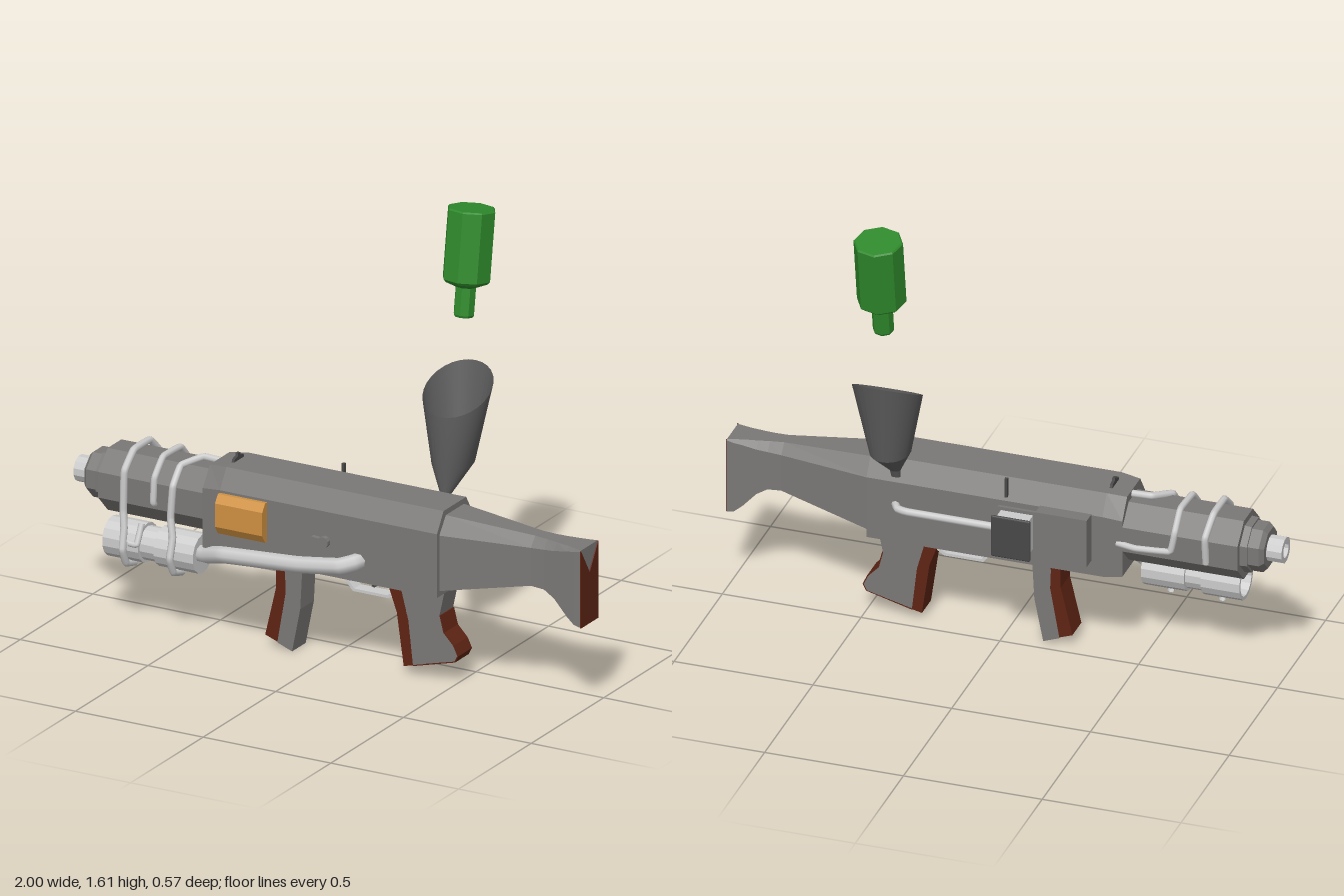
import * as THREE from 'three';
import { toCreasedNormals } from 'three/addons/utils/BufferGeometryUtils.js';
import { RoundedBoxGeometry } from 'three/addons/geometries/RoundedBoxGeometry.js';

const mat = (color, extra = {}) => new THREE.MeshStandardMaterial({ color, ...extra });
const CY = 0.49, CZ = 0.088; // bore axis

// Skin through rings of [x, y, z]; optional end caps
function loft(rings, caps = true) {
  const pos = [], n = rings[0].length;
  const tri = (...pts) => pts.forEach(p => pos.push(...p));
  for (let i = 0; i < rings.length - 1; i++) {
    for (let j = 0; j < n; j++) {
      const k = (j + 1) % n, a = rings[i], b = rings[i + 1];
      tri(a[j], a[k], b[k]);
      tri(a[j], b[k], b[j]);
    }
  }
  if (caps) {
    const a = rings[0], b = rings[rings.length - 1];
    for (let j = 1; j < n - 1; j++) {
      tri(a[0], a[j + 1], a[j]);
      tri(b[0], b[j], b[j + 1]);
    }
  }
  const g = new THREE.BufferGeometry();
  g.setAttribute('position', new THREE.Float32BufferAttribute(pos, 3));
  g.computeVertexNormals();
  return g;
}

// Box section across x with chamfered top edges
const section = (x, y0, y1, w, c, d) => [
  [x, y1, CZ + w - d], [x, y1 - c, CZ + w], [x, y0, CZ + w],
  [x, y0, CZ - w], [x, y1 - c, CZ - w], [x, y1, CZ - w + d],
].map(([a, b, z]) => [a, b, z + 0.005]);

// Turned part along x; profile of [x, radius] running from rear to front
function turned(profile, sides, y = CY, z = CZ) {
  const pts = profile.map(([x, r]) => new THREE.Vector2(r, -x));
  return new THREE.LatheGeometry(pts, sides, Math.PI / sides).rotateZ(Math.PI / 2).translate(0, y, z);
}

// Side outline extruded between two z values
function slab(points, z0, z1) {
  const shape = new THREE.Shape(points.map(p => new THREE.Vector2(...p)));
  return new THREE.ExtrudeGeometry(shape, { depth: z1 - z0, bevelEnabled: false }).translate(0, 0, z0);
}

function pipe(points, r) {
  const curve = new THREE.CatmullRomCurve3(points.map(p => new THREE.Vector3(...p)), false, 'catmullrom', 0.12);
  return new THREE.TubeGeometry(curve, points.length * 8, r, 8);
}

export function createModel() {
  const model = new THREE.Group();
  const steel = mat(0x7a7876, { flatShading: true });
  const light = mat(0xcccccc, { side: THREE.DoubleSide });
  const lightFlat = mat(0xcccccc, { flatShading: true, side: THREE.DoubleSide });
  const dark = mat(0x484848, { flatShading: true });
  const wood = mat(0x5e2414, { flatShading: true });
  const amber = mat(0xcf9040, { flatShading: true });
  const green = mat(0x2f8a2c, { flatShading: true });
  const add = (name, geometry, material) => {
    const m = new THREE.Mesh(geometry, material);
    m.name = name;
    model.add(m);
    return m;
  };
  const box = (name, x0, x1, y0, y1, z0, z1, material) => add(name,
    new THREE.BoxGeometry(x1 - x0, y1 - y0, z1 - z0)
      .translate((x0 + x1) / 2, (y0 + y1) / 2, (z0 + z1) / 2), material);

  // Receiver and stock
  add('receiver', loft([
    section(-0.45, 0.345, 0.63, 0.118, 0.07, 0.05),
    section(-0.38, 0.335, 0.637, 0.123, 0.07, 0.045),
    section(0.47, 0.335, 0.637, 0.123, 0.07, 0.045),
  ]), steel);
  add('stock', loft([
    [0.47, 0.355, 0.617, 0.107, 0.06, 0.045],
    [0.80, 0.42, 0.593, 0.057, 0.035, 0.03],
    [0.85, 0.415, 0.59, 0.055, 0.03, 0.025],
    [0.89, 0.39, 0.588, 0.056, 0.025, 0.02],
    [0.94, 0.335, 0.587, 0.058, 0.015, 0.015],
    [0.97, 0.31, 0.586, 0.06, 0.01, 0.01],
    [0.996, 0.304, 0.585, 0.06, 0.003, 0.003],
  ].map(s => section(...s))), steel);

  // Butt pad with a V cut into its top edge
  const pad = slab([[-0.06, 0.304], [0.06, 0.304], [0.06, 0.585], [0, 0.49], [-0.06, 0.585]], 0, 0.005);
  add('buttPad', pad.rotateY(Math.PI / 2).translate(0.995, 0, CZ + 0.008), wood);

  // Octagonal barrel, stepped collar and hollow muzzle
  add('barrel', turned([[-0.42, 0.122], [-0.865, 0.122], [-0.865, 0.098], [-0.89, 0.096],
    [-0.89, 0.088], [-0.93, 0.088], [-0.945, 0.072], [-0.945, 0]], 8), steel);
  add('muzzle', turned([[-0.93, 0.047], [-1, 0.047], [-1, 0.028], [-0.945, 0.028], [-0.945, 0]], 12), lightFlat);

  // Canister under the barrel, open at the front
  add('canister', turned([[-0.475, 0], [-0.475, 0.071], [-0.63, 0.071], [-0.63, 0.06], [-0.69, 0.06],
    [-0.69, 0.071], [-0.83, 0.071], [-0.83, 0.058], [-0.75, 0.055], [-0.75, 0]], 14, 0.302, 0.165), lightFlat);

  // Pipes
  add('mainPipe', pipe([[-0.5, 0.305, 0.17], [-0.44, 0.315, 0.2], [-0.35, 0.345, 0.24],
    [-0.05, 0.372, 0.256], [0.11, 0.395, 0.255], [0.155, 0.408, 0.225], [0.165, 0.41, 0.19]], 0.03), light);
  add('frontStrap', pipe([[-0.75, 0.45, -0.02], [-0.75, 0.55, -0.032], [-0.76, 0.618, 0.03],
    [-0.76, 0.618, 0.14], [-0.76, 0.56, 0.205], [-0.76, 0.42, 0.212], [-0.75, 0.36, 0.225],
    [-0.745, 0.29, 0.245], [-0.745, 0.235, 0.22], [-0.745, 0.218, 0.16]], 0.013), light);
  add('rearStrap', pipe([[-0.44, 0.615, 0.08], [-0.52, 0.618, 0.08], [-0.57, 0.6, 0.15], [-0.57, 0.54, 0.205],
    [-0.575, 0.43, 0.212], [-0.56, 0.36, 0.225], [-0.56, 0.29, 0.245], [-0.56, 0.235, 0.22],
    [-0.56, 0.218, 0.16]], 0.013), light);
  add('middlePipe', pipe([[-0.645, 0.455, 0.185], [-0.645, 0.47, 0.208], [-0.645, 0.555, 0.2],
    [-0.645, 0.615, 0.14], [-0.64, 0.615, 0.03], [-0.64, 0.55, -0.03], [-0.625, 0.48, -0.035],
    [-0.5, 0.47, -0.035], [-0.43, 0.47, -0.02]], 0.012), light);
  add('canisterLink', pipe([[-0.725, 0.315, 0.235], [-0.695, 0.315, 0.235], [-0.695, 0.38, 0.2]], 0.011), light);
  add('sidePipe', pipe([[-0.05, 0.48, -0.066], [0.31, 0.48, -0.066], [0.35, 0.48, -0.055], [0.37, 0.48, -0.02]],
    0.014), light);

  // Side plate with chamfered top and bottom
  add('sidePlate', loft([-0.38, -0.195].map(x =>
    [[x, 0.558, 0.2], [x, 0.558, 0.23], [x, 0.53, 0.25], [x, 0.445, 0.25], [x, 0.415, 0.23], [x, 0.415, 0.2]])), amber);

  // Far-side box and viewing unit
  box('sideBox', -0.34, -0.155, 0.39, 0.57, -0.078, 0, steel);
  box('viewerMount', -0.13, -0.03, 0.43, 0.54, -0.07, 0, steel);
  box('viewerBody', -0.143, -0.027, 0.42, 0.55, -0.13, -0.055, lightFlat);
  const lens = add('viewerPlate', new RoundedBoxGeometry(0.142, 0.158, 0.012, 2, 0.006), dark);
  lens.position.set(-0.085, 0.485, -0.133);
  box('viewerRim', -0.155, -0.015, 0.408, 0.562, -0.067, -0.055, steel);

  // Fore grip and pistol grip
  const z0 = 0.047, z1 = 0.141;
  add('foreGrip', slab([[-0.17, 0.345], [-0.165, 0.21], [-0.198, 0.022], [-0.14, 0], [-0.108, 0.16],
    [-0.098, 0.345]], z0, z1), steel);
  add('foreGripFront', slab([[-0.203, 0.345], [-0.203, 0.22], [-0.245, 0.042], [-0.198, 0.025],
    [-0.165, 0.21], [-0.168, 0.345]], z0, z1), wood);
  add('pistolGrip', slab([[0.275, 0.345], [0.315, 0.2], [0.333, 0.04], [0.495, 0.082], [0.507, 0.105],
    [0.49, 0.14], [0.452, 0.18], [0.437, 0.24], [0.46, 0.345]], z0, z1), steel);
  add('pistolGripFront', slab([[0.225, 0.345], [0.27, 0.22], [0.297, 0.03], [0.333, 0.038],
    [0.315, 0.2], [0.277, 0.345]], z0, z1), wood);
  add('pistolGripBack', slab([[0.333, 0.036], [0.498, 0.08], [0.511, 0.105], [0.494, 0.141], [0.456, 0.181],
    [0.441, 0.24], [0.437, 0.24], [0.452, 0.18], [0.49, 0.14], [0.507, 0.105], [0.495, 0.083],
    [0.333, 0.041]], z0, z1), wood);

  // Trigger guard and trigger
  add('triggerGuard', slab([[0.065, 0.34], [0.058, 0.285], [0.085, 0.255], [0.225, 0.255], [0.255, 0.275],
    [0.255, 0.287], [0.22, 0.265], [0.09, 0.265], [0.069, 0.288], [0.076, 0.34]], 0.07, 0.118), lightFlat);
  add('trigger', slab([[0.15, 0.34], [0.165, 0.31], [0.15, 0.28], [0.162, 0.278], [0.185, 0.31],
    [0.185, 0.34]], 0.083, 0.105), dark);
  box('triggerPlate', 0.06, 0.24, 0.325, 0.34, 0.065, 0.123, dark);

  // Selector lever
  add('selectorPivot', new THREE.CylinderGeometry(0.02, 0.02, 0.025, 10).rotateX(Math.PI / 2)
    .translate(0.033, 0.46, 0.222), steel);
  add('selectorLever', slab([[-0.015, 0.46], [0.03, 0.45], [0.03, 0.47], [-0.013, 0.474]], 0.216, 0.233), steel);

  // Sights
  const sight = slab([[-0.037, 0.63], [0.037, 0.63], [0.03, 0.648], [0.01, 0.652], [0.007, 0.662],
    [-0.007, 0.662], [-0.01, 0.652], [-0.03, 0.648]], 0, 0.01);
  add('frontSight', sight.rotateY(Math.PI / 2).translate(-0.387, 0, CZ), dark);
  box('topLever', -0.037, -0.027, 0.58, 0.652, -0.03, -0.018, dark);

  // Slant-cut funnel: [y, z, radius x, radius z, slant]
  const ring = ([y, z, rx, rz, slant]) => Array.from({ length: 28 }, (_, i) => {
    const t = i / 28 * Math.PI * 2, dz = rz * Math.cos(t);
    return [0.367 + rx * Math.sin(t), y - dz * slant, z + dz];
  });
  const funnel = loft([[0.585, -0.02, 0.016, 0.017, 0.3], [0.615, -0.028, 0.018, 0.022, 0.2],
    [0.715, -0.078, 0.07, 0.087, 0], [0.97, -0.11, 0.122, 0.12, 0.54]].map(ring), false);
  add('funnel', toCreasedNormals(funnel, 0.35), mat(0x5e5e5e, { side: THREE.DoubleSide }));

  // Tilted bottle above the funnel
  const outline = [[0, 0], [0.033, 0], [0.037, 0.008], [0.037, 0.105], [0.076, 0.122], [0.086, 0.132],
    [0.086, 0.376], [0.081, 0.381], [0, 0.381]];
  const bottle = add('bottle', new THREE.LatheGeometry(outline.map(p => new THREE.Vector2(...p)), 8, 0.15), green);
  bottle.position.set(0.367, 1.221, -0.149);
  bottle.rotation.x = -0.148;

  return model;
}
